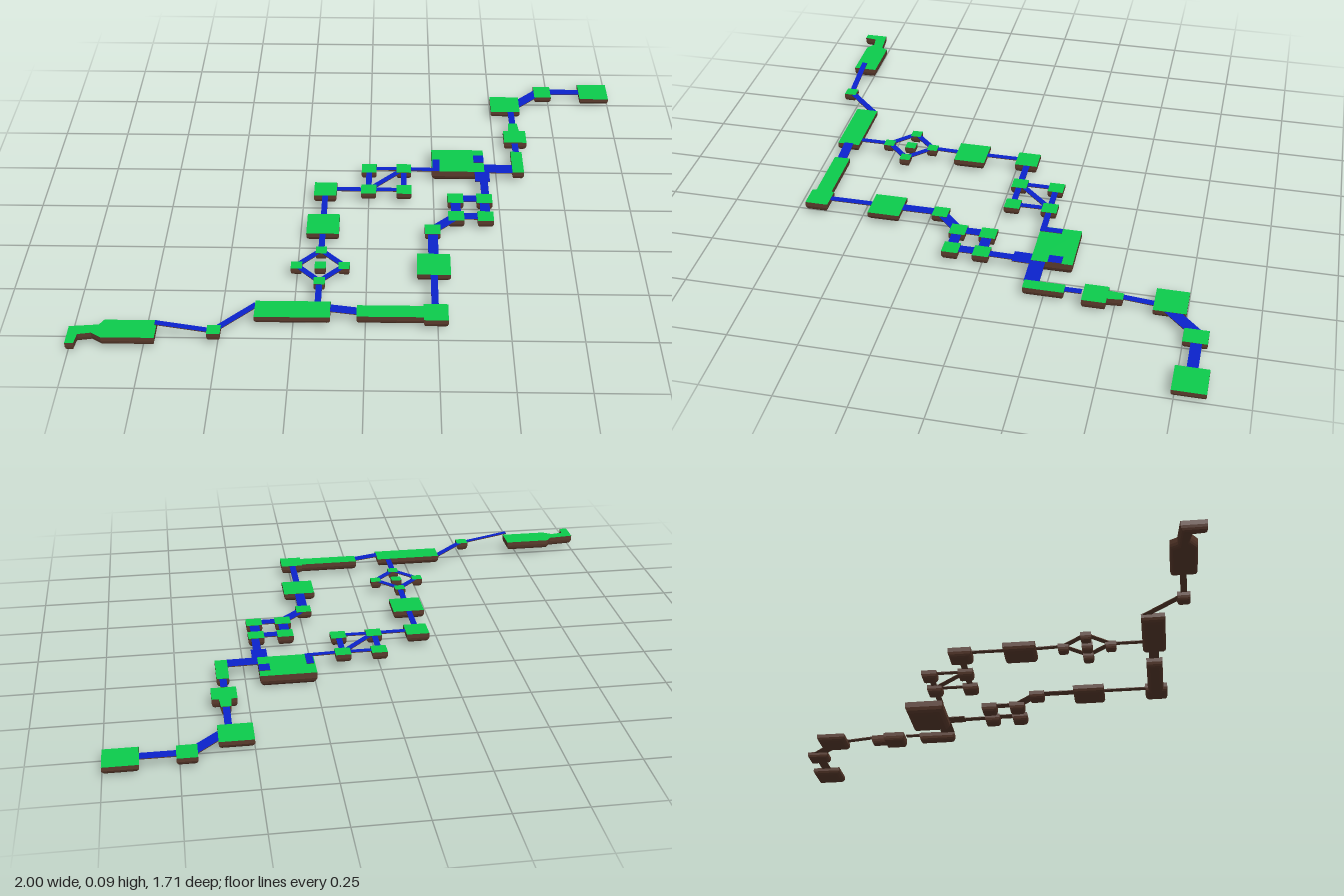
import * as THREE from 'three';

const grass = new THREE.MeshStandardMaterial({ color: 0x0ccc4c });
const earth = new THREE.MeshStandardMaterial({ color: 0x5a3a2c });
const path = new THREE.MeshStandardMaterial({ color: 0x0a22cc });

// Moves every side of a counter-clockwise outline inwards by d, with mitred corners
function inset(pts, d) {
  const n = pts.length;
  const normal = (a, b) => new THREE.Vector2(a.y - b.y, b.x - a.x).normalize();
  return pts.map((p, i) => {
    const n1 = normal(pts[(i + n - 1) % n], p), n2 = normal(p, pts[(i + 1) % n]);
    const m = n1.clone().add(n2);
    return p.clone().addScaledVector(m, d / (1 + n1.dot(n2)));
  });
}

function meshFrom(positions, material, name) {
  const g = new THREE.BufferGeometry();
  g.setAttribute('position', new THREE.Float32BufferAttribute(positions, 3));
  g.computeVertexNormals();
  const m = new THREE.Mesh(g, material);
  m.name = name;
  return m;
}

// Flat grass top on an earth body whose underside rounds inwards
function island(name, outline, top, bottom, round = 0.014) {
  const pts = outline.map(([x, z]) => new THREE.Vector2(x, z));
  const tris = THREE.ShapeUtils.triangulateShape(pts, []);
  const rings = [[0, 0], [0.45, 0], [0.7, 0.2], [0.88, 0.5], [1, 1]].map(([t, k]) =>
    inset(pts, k * round).map(p => [p.x, top + (bottom - top) * t, p.y]));
  const topPos = [], body = [];
  for (const [a, b, c] of tris) {
    topPos.push(...rings[0][a], ...rings[0][c], ...rings[0][b]);
    body.push(...rings[4][a], ...rings[4][b], ...rings[4][c]);
  }
  for (let k = 0; k < 4; k++) {
    for (let i = 0; i < pts.length; i++) {
      const j = (i + 1) % pts.length, u = rings[k], l = rings[k + 1];
      body.push(...u[i], ...u[j], ...l[i], ...u[j], ...l[j], ...l[i]);
    }
  }
  const g = new THREE.Group();
  g.name = name;
  g.add(meshFrom(topPos, grass, 'grassTop'), meshFrom(body, earth, 'earthBody'));
  return g;
}

const rect = (x0, x1, z0, z1) => [[x0, z0], [x1, z0], [x1, z1], [x0, z1]];
const square = (x, z, h) => rect(x - h, x + h, z - h, z + h);

// Thin plank from a to b, blue above and earth below
function bridge(a, b, width) {
  const A = new THREE.Vector3(...a), B = new THREE.Vector3(...b);
  const g = new THREE.BoxGeometry(width, 0.003, A.distanceTo(B));
  g.translate(0, -0.0025, 0);
  const m = new THREE.Mesh(g, [earth, earth, path, earth, earth, earth]);
  m.position.copy(A).lerp(B, 0.5);
  m.lookAt(B);
  m.name = 'bridge';
  return m;
}

export function createModel() {
  const model = new THREE.Group();
  model.name = 'islandChain';
  const add = (...args) => model.add(island(...args));
  const link = (...args) => model.add(bridge(...args));

  // Large islands
  add('startIsland', [[-1, 0.765], [-0.9, 0.755], [-0.885, 0.73], [-0.705, 0.73], [-0.705, 0.82],
    [-0.885, 0.82], [-0.92, 0.797], [-0.965, 0.805], [-0.97, 0.85], [-1, 0.85]], 0.06, 0.024, 0.01);
  add('longIsland', rect(-0.38, -0.12, 0.625, 0.71), 0.062, 0.026, 0.02);
  add('cornerIsland', [[-0.03, 0.635], [0.2, 0.635], [0.2, 0.625], [0.285, 0.625], [0.285, 0.71],
    [0.2, 0.71], [0.2, 0.695], [-0.03, 0.695]], 0.055, 0.018);
  add('eastIsland', square(0.24, 0.405, 0.06), 0.055, 0.02, 0.02);
  add('westIsland', square(-0.165, 0.175, 0.06), 0.057, 0.02, 0.02);
  add('westCornerIsland', square(-0.165, -0.047, 0.043), 0.057, 0.02);
  add('mainIsland', rect(0.245, 0.45, -0.33, -0.18), 0.05, 0, 0.025);
  add('narrowIsland', rect(0.56, 0.605, -0.325, -0.18), 0.048, 0.012);
  add('neckIsland', [[0.565, -0.53], [0.6, -0.53], [0.605, -0.475], [0.63, -0.475], [0.63, -0.39],
    [0.54, -0.39], [0.54, -0.475], [0.56, -0.475]], 0.048, 0.012, 0.01);
  add('northIsland', rect(0.5, 0.62, -0.75, -0.635), 0.038, 0.006, 0.02);
  add('northSteppingStone', rect(0.69, 0.76, -0.835, -0.75), 0.038, 0.008);
  add('endIsland', rect(0.88, 1, -0.855, -0.74), 0.038, 0.006, 0.02);

  // Small stepping stones
  for (const x of [0, 0.135]) for (const z of [-0.19, -0.05])
    add('westSteppingStone', square(x, z, 0.029), 0.056, 0.022);
  for (const x of [0.33, 0.44]) for (const z of [0, 0.112])
    add('eastSteppingStone', square(x, z, 0.03), 0.053, 0.016);
  add('bendSteppingStone', square(0.24, 0.2, 0.029), 0.055, 0.022);
  add('southSteppingStone', square(-0.51, 0.775, 0.023), 0.06, 0.027, 0.01);

  // Diamond of stones with a loose one in the middle
  const diamond = [[-0.165, 0.335], [-0.08, 0.423], [-0.165, 0.51], [-0.25, 0.423]];
  for (const [x, z] of [...diamond, [-0.165, 0.423]])
    add('diamondStone', square(x, z, 0.02), 0.06, 0.028, 0.009);
  diamond.forEach(([x, z], i) => {
    const [u, v] = diamond[(i + 1) % 4];
    link([x, 0.06, z], [u, 0.06, v], 0.022);
  });

  // South and west bridges, with the raised ramp first
  link([-0.705, 0.091, 0.775], [-0.53, 0.06, 0.775], 0.022);
  link([-0.51, 0.06, 0.775], [-0.375, 0.061, 0.64], 0.024);
  link([-0.12, 0.068, 0.665], [-0.03, 0.056, 0.665], 0.037);
  link([-0.165, 0.06, 0.625], [-0.165, 0.06, 0.51], 0.022);
  link([-0.165, 0.06, 0.335], [-0.165, 0.057, 0.23], 0.022);
  link([-0.165, 0.057, 0.12], [-0.165, 0.057, -0.01], 0.022);
  link([-0.13, 0.057, -0.05], [0, 0.056, -0.05], 0.024);
  for (const [a, b] of [[[0, -0.19], [0, -0.05]], [[0.135, -0.19], [0.135, -0.05]],
    [[0, -0.19], [0.135, -0.19]], [[0, -0.05], [0.135, -0.05]], [[0, -0.05], [0.135, -0.19]]])
    link([a[0], 0.056, a[1]], [b[0], 0.056, b[1]], 0.022);
  link([0.135, 0.056, -0.19], [0.275, 0.053, -0.19], 0.022);
  link([0.262, 0.053, -0.26], [0.262, 0.053, -0.18], 0.027);

  // East bridges
  link([0.24, 0.055, 0.63], [0.24, 0.055, 0.46], 0.025);
  link([0.24, 0.055, 0.35], [0.24, 0.055, 0.2], 0.037);
  link([0.24, 0.054, 0.2], [0.33, 0.053, 0.112], 0.04);
  for (const x of [0.33, 0.44]) link([x, 0.053, 0], [x, 0.053, 0.112], 0.037);
  for (const z of [0, 0.112]) link([0.33, 0.053, z], [0.44, 0.053, z], 0.037);
  link([0.445, 0.053, 0], [0.445, 0.051, -0.12], 0.03);
  link([0.44, 0.051, -0.115], [0.44, 0.05, -0.19], 0.057);
  link([0.43, 0.053, -0.29], [0.43, 0.053, -0.24], 0.04);
  link([0.45, 0.05, -0.205], [0.565, 0.048, -0.205], 0.055);

  // North bridges
  link([0.582, 0.048, -0.32], [0.582, 0.048, -0.385], 0.025);
  link([0.582, 0.048, -0.525], [0.582, 0.038, -0.64], 0.025);
  link([0.6, 0.038, -0.685], [0.71, 0.038, -0.795], 0.045);
  link([0.75, 0.038, -0.797], [0.89, 0.038, -0.797], 0.038);
  return model;
}
